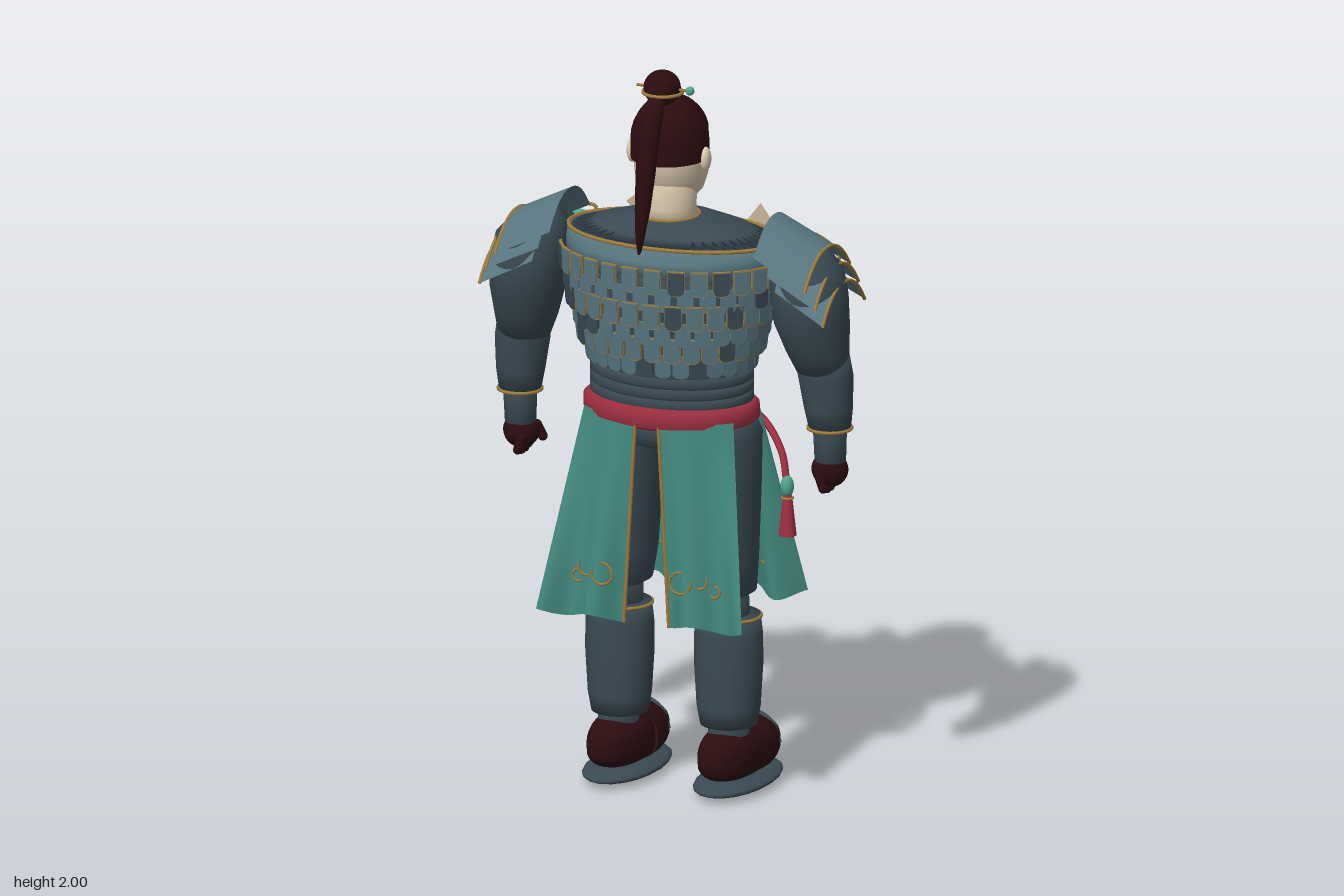
import * as THREE from 'three';
import { mergeGeometries, mergeVertices } from 'three/addons/utils/BufferGeometryUtils.js';

const mat = (name, color) => {
  const m = new THREE.MeshStandardMaterial({ color, side: THREE.DoubleSide });
  m.name = name;
  return m;
};
const V = (x, y, z) => new THREE.Vector3(x, y, z);
const { lerp } = THREE.MathUtils;
const TAU = Math.PI * 2;

// Grid surface from a rule f(u, v) -> [x, y, z]
function surface(nu, nv, f) {
  const pos = [], idx = [];
  for (let j = 0; j <= nv; j++) for (let i = 0; i <= nu; i++) pos.push(...f(i / nu, j / nv));
  for (let j = 0; j < nv; j++) for (let i = 0; i < nu; i++) {
    const a = j * (nu + 1) + i, b = a + 1, c = b + nu + 1, d = a + nu + 1;
    idx.push(a, b, c, a, c, d);
  }
  let g = new THREE.BufferGeometry();
  g.setAttribute('position', new THREE.Float32BufferAttribute(pos, 3));
  g.setIndex(idx);
  g = mergeVertices(g, 1e-5);
  g.computeVertexNormals();
  return g;
}

// Interpolated ring [y, rx, rz, cz, cx] at a height
function ringAt(rings, y) {
  let k = 0;
  while (k < rings.length - 2 && y > rings[k + 1][0]) k++;
  const a = rings[k], b = rings[k + 1], t = THREE.MathUtils.clamp((y - a[0]) / (b[0] - a[0]), 0, 1);
  return a.map((n, i) => lerp(n, b[i], t));
}

// Capped elliptical loft through rings listed from bottom to top
function loft(rings, n = 32) {
  const cap = r => [r[0], 1e-4, 1e-4, ...r.slice(3)];
  const all = [cap(rings[0]), ...rings, cap(rings[rings.length - 1])];
  return surface(n, all.length - 1, (u, v) => {
    const [y, rx, rz, cz = 0, cx = 0] = all[Math.round(v * (all.length - 1))];
    return [cx + rx * Math.sin(u * TAU), y, cz + rz * Math.cos(u * TAU)];
  });
}
const ball = (x, y, z, rx, ry = rx, rz = rx) => new THREE.SphereGeometry(1, 20, 14).scale(rx, ry, rz).translate(x, y, z);
const tube = (pts, r, closed = false, n = 40) => new THREE.TubeGeometry(new THREE.CatmullRomCurve3(pts, closed), n, r, 6, closed);
const hoop = (y, rx, rz, cz, r, cx = 0) => tube(Array.from({ length: 24 }, (_, i) =>
  V(cx + rx * Math.sin(i / 24 * TAU), y, cz + rz * Math.cos(i / 24 * TAU))), r, true, 48);

function mirror(g) {
  const m = g.clone().scale(-1, 1, 1), ix = m.index.array;
  for (let i = 0; i < ix.length; i += 3) [ix[i], ix[i + 2]] = [ix[i + 2], ix[i]];
  return m;
}

export function createModel() {
  const root = new THREE.Group();
  const dark = mat('dark slate', 0x3a4a53), slate = mat('light slate', 0x587680), teal = mat('teal cloth', 0x43897f);
  const maroon = mat('dark maroon', 0x2c0d10), skin = mat('skin', 0xdccbb0), red = mat('red sash', 0xa03040);
  const gold = mat('gold trim', 0xa07c3c), cream = mat('cream strap', 0xcdb899), jade = mat('jade', 0x4fa58c), lip = mat('lip', 0xb08874);
  const add = (name, g, m) => {
    const mesh = new THREE.Mesh(g, m);
    mesh.name = name;
    root.add(mesh);
  };
  const pair = (name, g, m) => { add(name + 'Left', g, m); add(name + 'Right', mirror(g), m); };

  // Torso, chest plate and yoke
  const torso = [[1.07, .215, .15, .02], [1.18, .21, .155, .02], [1.3, .255, .185, .02], [1.4, .285, .2, .015], [1.46, .297, .205, .005]];
  add('torso', loft(torso), dark);
  add('shoulderBand', loft([[1.45, .298, .205, .005], [1.5, .302, .205, .0], [1.532, .297, .177, .005]], 48), slate);
  add('yoke', loft([[1.53, .294, .172, .005], [1.555, .22, .15, .01], [1.58, .14, .115, .025], [1.595, .08, .08, .04]], 48), dark);
  add('yokeTrim', hoop(1.533, .296, .176, .005, .006), gold);
  add('chestPlate', surface(24, 8, (u, v) => {
    const y = lerp(1.31, 1.47, v), a = Math.PI + (u - .5) * 2.2, [, rx, rz, cz] = ringAt(torso, y);
    return [(rx + .008) * Math.sin(a), y, cz + (rz + .012) * Math.cos(a)];
  }), slate);

  // Rows of hanging scales
  const tongue = (w, h) => {
    const s = new THREE.Shape();
    s.moveTo(-w, h); s.lineTo(-w, -h * .5);
    s.quadraticCurveTo(-w, -h, 0, -h); s.quadraticCurveTo(w, -h, w, -h * .5); s.lineTo(w, h);
    return new THREE.ExtrudeGeometry(s, { depth: .007, bevelEnabled: false, curveSegments: 4 });
  };
  let seed = 7;
  const rnd = () => (seed = (seed * 16807) % 2147483647) / 2147483647;
  const scales = { slate: [], dark: [], gold: [] };
  for (let row = 0; row < 6; row++) {
    const y = 1.215 + row * .048, n = 30, [, rx, rz, cz] = ringAt(torso, y);
    for (let i = 0; i < n; i++) {
      const a = (i + (row % 2) / 2) / n * TAU;
      if (row > 2 && Math.cos(a) < -.45) continue;
      const put = (list, w, h, off) => list.push(tongue(w, h).rotateX(.12 - .1 * row / 5)
        .rotateY(Math.atan2(Math.sin(a) / rx, Math.cos(a) / rz))
        .translate((rx + off) * Math.sin(a), y, cz + (rz + off) * Math.cos(a)));
      put(rnd() < .22 ? scales.dark : scales.slate, .022, .032, .009 + .006 * (row % 2));
      if (row % 2 === 1) put(scales.gold, .0235, .035, .0125);
    }
  }
  add('lightScales', mergeGeometries(scales.slate), slate);
  add('darkScales', mergeGeometries(scales.dark), dark);
  add('scaleTrim', mergeGeometries(scales.gold), gold);

  // Crossed chest straps
  for (const s of [1, -1]) add(s > 0 ? 'strapLeft' : 'strapRight', surface(2, 14, (u, v) => {
    const w = (u - .5) * .055, x = s * (lerp(-.05, .19, v) + w * .77), y = lerp(1.27, 1.56, v) - w * .64;
    const [, rx, rz, cz] = ringAt(torso, Math.min(y, 1.46));
    return [x, y, cz - rz * Math.sqrt(1 - (x / rx) ** 2) - .017 - (s < 0 ? .004 : 0)];
  }), cream);

  // Waist bands, belt and pelvis
  [1.1, 1.13, 1.16].forEach((y, i) => add('waistBand' + i, loft([[y - .014, .22, .155, .02], [y - .009, .227, .162, .02],
    [y + .009, .227, .162, .02], [y + .014, .22, .155, .02]]), dark));
  add('belt', loft([[1.03, .228, .16, .022], [1.042, .243, .173, .022], [1.078, .243, .173, .022], [1.092, .228, .16, .022]], 48), red);
  add('pelvis', loft([[.96, .1, .1, .02], [.98, .2, .135, .02], [1.04, .225, .15, .02]]), dark);
  add('beltRing', new THREE.TorusGeometry(.036, .01, 10, 28).translate(0, 1.045, -.172), jade);
  pair('sashCord', tube([V(.01, 1.02, -.175), V(.07, 1.03, -.18), V(.17, .99, -.175), V(.26, .92, -.11), V(.285, .85, -.085)], .01), red);
  pair('cordBead', ball(.287, .835, -.085, .018, .03, .018), jade);
  pair('tassel', new THREE.CylinderGeometry(.012, .024, .11, 12).translate(.288, .755, -.085), red);
  pair('tasselTrim', hoop(.803, .014, .014, -.085, .004, .288), gold);

  // Four cloth skirt panels with gold edges and curls
  const panel = (u, v, s) => {
    const t = 1 - v, x = lerp(lerp(.033, .215, u), lerp(.065, .297, u), t);
    const top = .02 + s * .17 * Math.sqrt(1 - (lerp(.033, .215, u) / .25) ** 2);
    const bottom = (s > 0 ? .215 : -.175) - s * .025 * Math.cos(u * Math.PI * 3);
    return [x, 1.055 - t * (.55 + .012 * Math.cos(u * 9)), lerp(top, bottom, t)];
  };
  for (const s of [1, -1]) {
    const name = s > 0 ? 'back' : 'front';
    pair(name + 'Panel', surface(24, 16, (u, v) => panel(s > 0 ? u : 1 - u, v, s)), teal);
    pair(name + 'PanelTrim', tube(Array.from({ length: 9 }, (_, i) => V(...panel(0, i / 8, s))), .005), gold);
    for (const [u, v, r, a] of [[.25, .22, .03, 5], [.48, .24, .022, 4], [.62, .2, .016, 4]]) {
      const p = panel(u, v, s);
      pair(name + 'Curl', new THREE.TorusGeometry(r, .0035, 6, 20, a).rotateZ(u * 6).translate(p[0], p[1], p[2] + s * .006), gold);
    }
  }

  // Legs
  pair('thigh', loft([[.55, .06, .065, .015, .15], [.565, .085, .1, .02, .15], [.65, .095, .11, .02, .145],
    [.85, .105, .12, .02, .142], [1, .108, .122, .02, .142], [1.05, .09, .11, .02, .135]]), dark);
  pair('knee', loft([[.47, .06, .06, .005, .155], [.56, .06, .06, .01, .152]]), dark);
  pair('shinGuard', loft([[.19, .076, .076, .005, .157], [.24, .086, .08, .005, .157], [.36, .094, .081, .005, .157], [.44, .093, .081, .005, .157], [.495, .086, .08, .005, .157]]), dark);
  pair('shinTrim', hoop(.49, .087, .081, .005, .005, .157), gold);
  pair('ankle', loft([[.13, .055, .055, .01, .16], [.2, .055, .055, .008, .158]]), dark);

  // Boots: rounded sphere, lower toward the toe
  const boot = new THREE.SphereGeometry(1, 28, 18), bp = boot.attributes.position;
  for (let i = 0; i < bp.count; i++) {
    const x = bp.getX(i), y = bp.getY(i), z = bp.getZ(i), h = Math.sign(y) * Math.abs(y) ** .75;
    bp.setXYZ(i, .16 + x * (z < 0 ? .09 : .082), .1 + h * (y > 0 ? .085 - .012 * Math.max(0, -z) : .065), -.05 + Math.sign(z) * Math.abs(z) ** .9 * .188);
  }
  boot.computeVertexNormals();
  pair('boot', boot, maroon);
  pair('bootStrap', tube([V(.083, .1, -.15), V(.105, .15, -.155), V(.16, .176, -.16), V(.215, .15, -.155), V(.237, .1, -.15)], .006), dark);
  pair('sole', ball(.16, .024, -.05, .1, .022, .195), dark);
  pair('soleInset', new THREE.CylinderGeometry(1, 1, .008, 28).scale(.055, 1, .1).translate(.16, .004, -.05), maroon);

  // Arms and fists
  pair('upperArm', loft([[1.2, .07, .065, .01, .43], [1.26, .085, .085, .02, .42], [1.34, .1, .105, .035, .41], [1.42, .104, .11, .04, .404],
    [1.49, .098, .1, .035, .395], [1.54, .07, .07, .03, .375], [1.56, .03, .03, .03, .365]]), dark);
  pair('forearm', loft([[1.04, .056, .055, 0, .447], [1.1, .066, .062, .003, .444], [1.19, .075, .068, .006, .437], [1.25, .072, .068, .01, .43]]), dark);
  pair('forearmTrim', hoop(1.042, .058, .057, 0, .005, .447), gold);
  pair('cuff', loft([[.95, .042, .04, -.003, .447], [1.05, .046, .044, 0, .447]]), dark);
  pair('fist', ball(.445, .925, -.005, .05, .048, .045), maroon);
  for (let i = 0; i < 4; i++) pair('finger', new THREE.CapsuleGeometry(.013, .035, 4, 10).rotateZ(.35).translate(.435, .888 + Math.abs(i - 1.5) * .005, .03 - i * .023), maroon);
  pair('thumb', new THREE.CapsuleGeometry(.013, .035, 4, 10).rotateZ(-.5).translate(.405, .92, -.035), maroon);

  // Layered arched shoulder plates
  [[.295, 1.62, .447, 1.545, .135, .15], [.33, 1.57, .475, 1.5, .13, .145], [.35, 1.53, .495, 1.455, .125, .14]].forEach(([x0, y0, x1, y1, w0, w1], k) => {
    const point = (u, v) => {
      const q = u * 2 - 1, z = lerp(w0, w1, v) * q;
      return [lerp(x0, x1, v), lerp(y0, y1, v) - .085 * Math.abs(q) ** 2.2, .02 - z];
    };
    pair('shoulderPlate' + k, surface(20, 4, (u, v) => point(1 - u, 1 - v)), slate);
    pair('shoulderPlateTrim' + k, tube(Array.from({ length: 11 }, (_, i) => V(...point(i / 10, 1))), .005), gold);
  });
  pair('shoulderLoop', tube([V(.28, 1.53, -.12), V(.35, 1.525, -.135), V(.42, 1.48, -.125), V(.4, 1.45, -.13), V(.33, 1.47, -.13)], .005, true), gold);
  pair('shoulderBead', ball(.33, 1.5, -.135, .024, .013, .013), jade);

  // Neck, head and face
  add('neck', loft([[1.57, .082, .082, .04], [1.62, .074, .075, .043], [1.74, .08, .08, .045]]), skin);
  add('neckTrim', hoop(1.593, .081, .081, .04, .005), gold);
  add('head', loft([[1.625, .03, .025, -.03], [1.635, .055, .055, -.012], [1.66, .08, .087, .012], [1.7, .095, .107, .022], [1.75, .099, .11, .027],
    [1.8, .098, .107, .03], [1.86, .085, .09, .032], [1.9, .04, .05, .03]], 40), skin);
  pair('ear', ball(.106, 1.755, .04, .014, .033, .02), skin);
  add('noseBridge', ball(0, 1.74, -.083, .011, .034, .012), skin);
  add('noseTip', ball(0, 1.715, -.088, .019, .013, .016), skin);
  add('mouth', ball(0, 1.677, -.076, .026, .007, .008), lip);
  pair('eye', ball(.04, 1.757, -.072, .017, .005, .006), maroon);
  pair('brow', new THREE.BoxGeometry(.04, .007, .009).rotateY(-.38).rotateZ(.12).translate(.042, 1.783, -.071), maroon);

  // Hair cap with short fringe, bun, pin and ponytail
  add('hairCap', surface(48, 10, (u, v) => {
    const a = u * TAU, c = Math.cos(a), low = c < -.35 ? 1.835 : 1.75;
    const h = Math.sin(v * Math.PI / 2), r = Math.sqrt(Math.max(1e-6, 1 - Math.max(0, lerp(low, 1.918, h) - 1.8) ** 2 / .118 ** 2));
    const ridge = 1 + .012 * (Math.round(u * 48) % 2);
    return [.103 * r * ridge * Math.sin(a), lerp(low, 1.918, h), .03 + (c < 0 ? .112 : .116) * r * ridge * c];
  }), maroon);
  add('bun', ball(0, 1.952, .085, .05, .048, .05), maroon);
  add('bunRing', hoop(1.94, .052, .052, .082, .005), gold);
  add('hairPin', new THREE.CylinderGeometry(.004, .004, .15, 8).rotateZ(Math.PI / 2).translate(.002, 1.952, .085), gold);
  add('pinBead', ball(.08, 1.952, .085, .012), jade);
  add('ponytail', loft([[1.51, .003, .004, .188, -.022], [1.56, .012, .013, .187, -.02], [1.64, .021, .02, .183, -.014], [1.74, .027, .024, .177, -.008],
    [1.83, .029, .027, .167, -.004], [1.89, .028, .028, .15, 0], [1.925, .024, .026, .13, 0], [1.945, .012, .014, .115, 0]], 16), maroon);
  return root;
}
